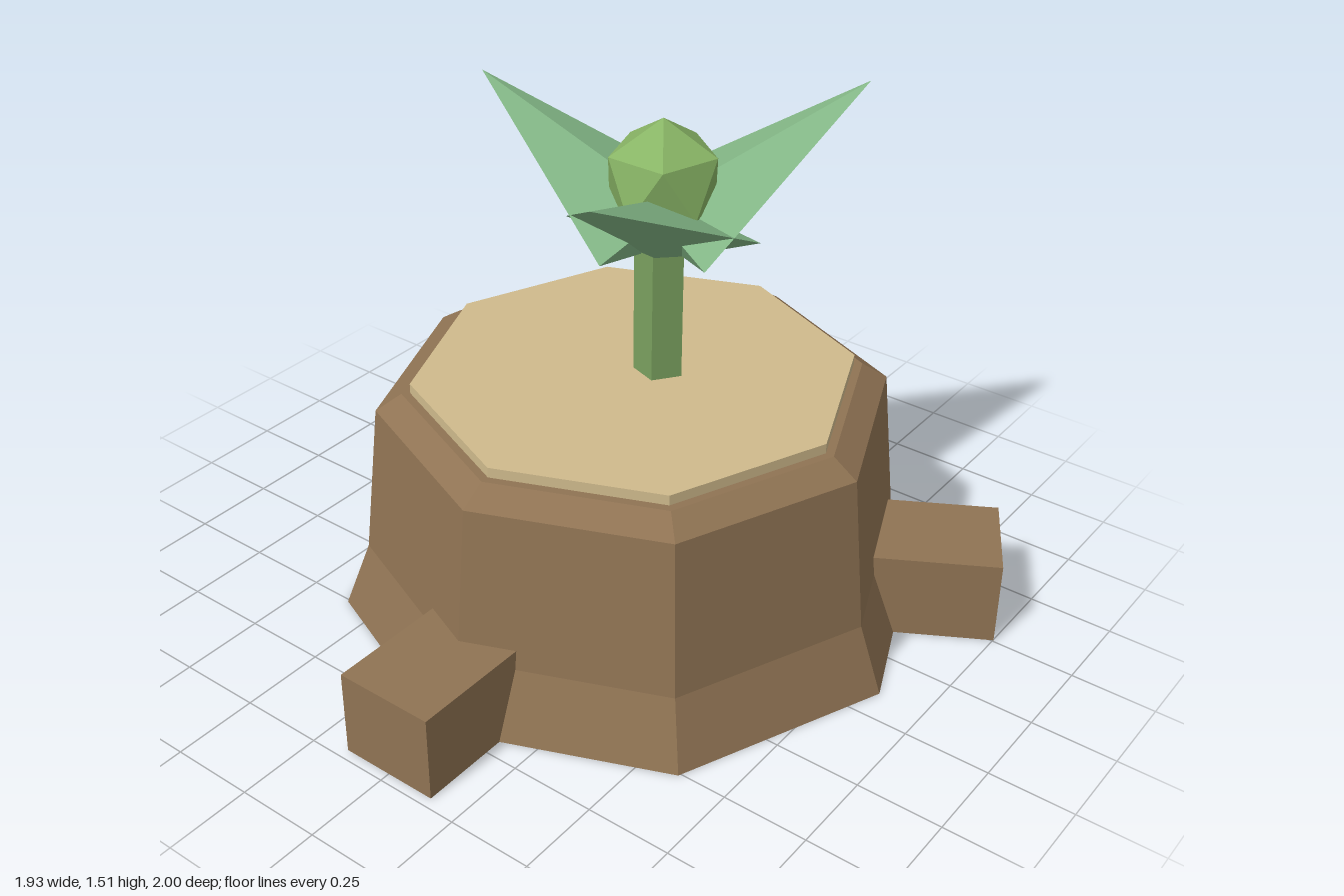
import * as THREE from 'three';

const mat = (color) => new THREE.MeshStandardMaterial({ color, flatShading: true });
const bark = mat(0x8f7353);
const cutWood = mat(0xcfba8c);
const stemGreen = mat(0x7aa05e);
const leafGreen = mat(0x82b585);
const budGreen = mat(0x88b465);

function add(parent, name, geometry, material, x = 0, y = 0, z = 0) {
  const mesh = new THREE.Mesh(geometry, material);
  mesh.name = name;
  mesh.position.set(x, y, z);
  parent.add(mesh);
  return mesh;
}

export function createModel() {
  const model = new THREE.Group();
  model.name = 'sproutingStump';

  // Eight-sided stump with flared foot and bevelled rim
  const stump = new THREE.Group();
  stump.name = 'stump';
  stump.position.x = 0.1;
  model.add(stump);
  const profile = [[0, 0], [0.86, 0], [0.785, 0.2], [0.735, 0.66], [0.66, 0.71], [0, 0.71]]
    .map(([r, y]) => new THREE.Vector2(r, y));
  add(stump, 'trunk', new THREE.LatheGeometry(profile, 8), bark);
  add(stump, 'cutTop', new THREE.CylinderGeometry(0.635, 0.635, 0.04, 8), cutWood, 0, 0.72, 0);

  // Three block roots, spaced evenly
  for (let i = 0; i < 3; i++) {
    const geometry = new THREE.BoxGeometry(0.5, 0.26, 0.3).translate(0.82, 0.13, 0);
    add(stump, 'root', geometry, bark).rotation.y = Math.PI + i * Math.PI * 2 / 3;
  }

  // Sprout: five-sided stem, round bud standing on a corner, three leaves
  const sprout = new THREE.Group();
  sprout.name = 'sprout';
  sprout.position.set(0.15, 0, 0.05);
  model.add(sprout);
  add(sprout, 'stem', new THREE.CylinderGeometry(0.075, 0.075, 0.44, 5), stemGreen, 0, 0.92, 0);
  const budShape = new THREE.IcosahedronGeometry(0.17).rotateZ(-0.5536);
  add(sprout, 'bud', budShape, budGreen, 0, 1.33, 0);

  // Each leaf is a flattened four-sided spike: [heading, elevation] in degrees
  for (const [heading, elevation] of [[60, 28.5], [-70, 28.5], [180, 26]]) {
    const geometry = new THREE.ConeGeometry(1, 1, 4)
      .translate(0, 0.5, 0)
      .scale(0.275, 0.703, 0.085)
      .rotateX(THREE.MathUtils.degToRad(90 - elevation));
    add(sprout, 'leaf', geometry, leafGreen, 0, 1.175, 0)
      .rotation.y = THREE.MathUtils.degToRad(heading);
  }

  return model;
}
